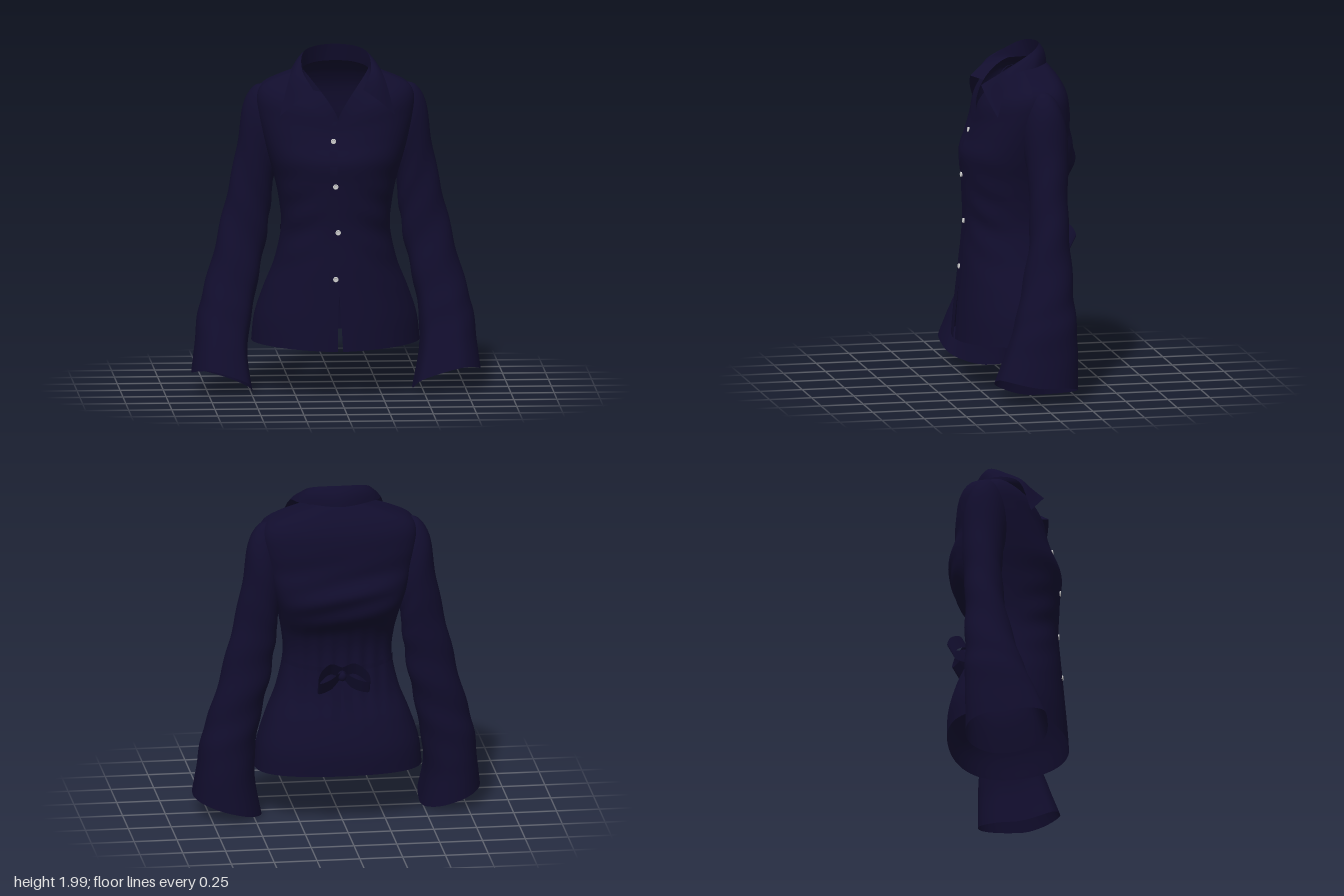
import * as THREE from 'three';
import { mergeVertices } from 'three/addons/utils/BufferGeometryUtils.js';

const cloth = new THREE.MeshStandardMaterial({ color: 0x110d2d, side: THREE.DoubleSide });
const grey = new THREE.MeshStandardMaterial({ color: 0xcccccc });
const { lerp, clamp, smoothstep } = THREE.MathUtils;
const V = (x, y, z) => new THREE.Vector3(x, y, z);
const power = (n, e) => Math.sign(n) * Math.abs(n) ** e;
const bump = (n, centre, width) => Math.exp(-(((n - centre) / width) ** 2));

// Smoothly interpolate a list of number rows at t in 0..1
function rowAt(rows, t) {
  const n = rows.length - 1, f = clamp(t, 0, 1) * n, i = Math.min(Math.floor(f), n - 1), k = f - i;
  const at = j => rows[clamp(j, 0, n)];
  return rows[0].map((_, c) => {
    const a = at(i - 1)[c], b = at(i)[c], d = at(i + 1)[c], e = at(i + 2)[c];
    return b + 0.5 * k * (d - a + k * (2 * a - 5 * b + 4 * d - e + k * (3 * (b - d) + e - a)));
  });
}

// Surface from a rule (u, v) -> point
function surface(name, nu, nv, rule) {
  const pos = [], index = [];
  for (let j = 0; j <= nv; j++)
    for (let i = 0; i <= nu; i++) pos.push(...rule(i / nu, j / nv).toArray());
  for (let j = 0; j < nv; j++)
    for (let i = 0; i < nu; i++) {
      const a = j * (nu + 1) + i, b = a + nu + 1;
      index.push(a, a + 1, b, a + 1, b + 1, b);
    }
  let g = new THREE.BufferGeometry();
  g.setAttribute('position', new THREE.Float32BufferAttribute(pos, 3));
  g.setIndex(index);
  g = mergeVertices(g, 1e-5);
  g.computeVertexNormals();
  const mesh = new THREE.Mesh(g, cloth);
  mesh.name = name;
  return mesh;
}

// Flat strip along a curve, widened along a fixed direction
function ribbon(name, points, across, steps = 28) {
  const curve = new THREE.CatmullRomCurve3(points);
  return surface(name, steps, 2, (u, v) => curve.getPoint(u).addScaledVector(across, v - 0.5));
}

// Body rings: y front, y side, y back, half width, z front, z back
const BODY = [
  [0.27, 0.29, 0.30, 0.487, 0.35, -0.35],
  [0.43, 0.44, 0.44, 0.47, 0.338, -0.345],
  [0.60, 0.60, 0.60, 0.418, 0.322, -0.30],
  [0.76, 0.76, 0.76, 0.355, 0.308, -0.232],
  [0.95, 0.95, 0.95, 0.315, 0.29, -0.2],
  [1.10, 1.10, 1.10, 0.325, 0.293, -0.22],
  [1.24, 1.24, 1.24, 0.352, 0.30, -0.305],
  [1.36, 1.37, 1.37, 0.39, 0.308, -0.335],
  [1.45, 1.50, 1.50, 0.425, 0.27, -0.302],
  [1.53, 1.62, 1.62, 0.45, 0.24, -0.295],
  [1.57, 1.72, 1.73, 0.455, 0.23, -0.28],
  [1.59, 1.785, 1.81, 0.42, 0.225, -0.245],
  [1.60, 1.835, 1.87, 0.32, 0.222, -0.2],
  [1.61, 1.875, 1.90, 0.19, 0.22, -0.165],
];

function bodyPoint(u, v, swell = 1) {
  const [yf, ys, yb, rx, zf, zb] = rowAt(BODY, v);
  // the front parts into a slit near the hem
  const gap = 0.03 * clamp((0.6 - yf) / 0.33, 0, 1);
  const a = lerp(gap, Math.PI * 2 - gap, u), s = Math.sin(a), c = Math.cos(a), front = c > 0;
  const y = lerp(front ? yf : yb, ys, front ? Math.abs(s) : s * s);
  // the front narrows to a V at the neck; the upper back is broad and flat
  const neck = smoothstep(v, 0.85, 1), upper = smoothstep(v, 0.25, 0.5);
  const x = rx * power(s, front ? lerp(0.9, 1.3, neck) : lerp(0.9, 0.8, upper));
  const bend = front
    ? lerp(lerp(1.1, 0.9, smoothstep(v, 0, 0.4)), 1.5, smoothstep(v, 0.52, 0.95))
    : lerp(lerp(0.75, 0.45, upper), 0.75, neck);
  let z = -0.02 + (front ? zf + 0.02 : -zb - 0.02) * power(c, bend);
  // gathers around the tied waist and soft folds over chest and back
  if (front) z += 0.02 * c * s * s * Math.sin(y * 34 + Math.abs(x) * 18) * bump(y, 1, 0.25);
  else z += c * c * (0.009 * bump(y, 0.9, 0.2) * Math.sin(x * 75) + 0.009 * bump(y, 1.35, 0.18) * Math.sin(y * 40 + x * 9));
  return V(x * swell, y, z * swell);
}

// Sleeve rings: inner x, inner y, outer x, outer y, z front, z back
const SLEEVE = [
  [0.33, 1.36, 0.40, 1.785, 0.02, -0.18],
  [0.35, 1.25, 0.47, 1.765, 0.03, -0.215],
  [0.36, 1.20, 0.53, 1.66, 0.02, -0.225],
  [0.365, 1.12, 0.565, 1.42, 0.01, -0.22],
  [0.38, 1.00, 0.62, 1.16, 0.01, -0.21],
  [0.41, 0.82, 0.68, 0.90, 0.03, -0.215],
  [0.455, 0.62, 0.755, 0.62, 0.085, -0.22],
  [0.485, 0.42, 0.80, 0.45, 0.13, -0.23],
  [0.485, 0.22, 0.82, 0.27, 0.18, -0.235],
  [0.445, 0.005, 0.84, 0.115, 0.24, -0.235],
];

function sleeve(side) {
  return surface(side > 0 ? 'leftSleeve' : 'rightSleeve', 48, 72, (u, v) => {
    const [xi, yi, xo, yo, zf, zb] = rowAt(SLEEVE, v);
    // round at the shoulder; toward the flared hem the inner front grows a corner
    const a = u * Math.PI * 2, sin = Math.sin(a), cos = Math.cos(a);
    const corner = clamp(0.5 - 0.8 * sin, 0, 1) * clamp(0.5 + 0.8 * cos, 0, 1);
    const bend = 1 - (0.1 + 0.4 * corner) * smoothstep(v, 0.4, 1);
    const s = power(sin, bend), c = power(cos, bend);
    // creases spiral down the arm, strongest at the elbow
    const fold = 1 + 0.035 * bump(v, 0.55, 0.22) * Math.sin(v * 45 + a * 2);
    const k = 0.5 + 0.5 * s * fold;
    // the right arm hangs slightly further forward, and both hems rise at the front
    const hem = smoothstep(v, 0.7, 1), swing = side < 0 ? 0.05 * clamp((v - 0.4) / 0.5, 0, 1) : 0;
    const x = lerp(xi + (side < 0 ? 0.045 * hem : 0), xo, k);
    const y = lerp(yi, yo, k) + 0.075 * hem * Math.max(0, c) ** 1.5;
    return V(side * x, y, (zf + zb) / 2 + (zf - zb) / 2 * c * fold + swing);
  });
}

// Mirror half a collar line into a full curve around the neck
function collarLine(half) {
  const pts = half.map(p => V(...p));
  const other = half.slice(0, -1).reverse().map(([x, y, z]) => V(-x, y, z));
  return new THREE.CatmullRomCurve3([...pts, ...other]);
}

export function createModel() {
  const shirt = new THREE.Group();
  shirt.name = 'shirt';

  shirt.add(surface('body', 120, 110, (u, v) => bodyPoint(u, v)));
  shirt.add(sleeve(1), sleeve(-1));

  // Collar: stand rises from the neck edge, then folds over to a pointed edge
  const fold = collarLine([[0.145, 1.785, 0.222], [0.2, 1.885, 0.08], [0.17, 1.975, -0.08], [0, 2.0, -0.145]]);
  const edge = collarLine([[0.335, 1.625, 0.165], [0.27, 1.85, 0.075], [0.225, 1.89, -0.09], [0, 1.885, -0.192]]);
  shirt.add(surface('collarStand', 60, 4, (u, v) => bodyPoint(lerp(0.1, 0.9, u), 1).lerp(fold.getPoint(u), v)));
  shirt.add(surface('collarFall', 60, 10, (u, v) => {
    const p = fold.getPoint(u).lerp(edge.getPoint(u), v);
    const bulge = 0.01 * Math.sin(v * Math.PI);
    return p.add(V(0, bulge, clamp(p.z * 10, -1, 1) * bulge));
  }));

  // Front placket, lying just over the closing edge
  const closing = [];
  for (let i = 0; i <= 14; i++) {
    const p = bodyPoint(1, i / 14 * 0.9);
    closing.push(V(-0.032, p.y, p.z + 0.002));
  }
  shirt.add(ribbon('placket', closing, V(0.045, 0, 0.002), 60));

  // Buttons
  for (const [x, y, z] of [[-0.03, 1.49, 0.257], [-0.02, 1.23, 0.302], [-0.005, 0.96, 0.292], [-0.02, 0.69, 0.315]]) {
    const button = new THREE.Group();
    button.name = 'button';
    const disc = new THREE.Mesh(new THREE.CylinderGeometry(0.015, 0.015, 0.008, 20), grey);
    const rim = new THREE.Mesh(new THREE.TorusGeometry(0.012, 0.004, 8, 20), grey);
    disc.name = 'buttonDisc';
    rim.name = 'buttonRim';
    disc.rotation.x = Math.PI / 2;
    rim.position.z = 0.003;
    button.add(disc, rim);
    button.position.set(x, y, z);
    shirt.add(button);
  }

  // Waist ties and the bow at the back
  const bow = new THREE.Group();
  bow.name = 'backBow';
  for (const side of [1, -1]) {
    const tie = [];
    for (let i = 0; i <= 10; i++) {
      const p = bodyPoint(0.5 - side * 0.22 * (1 - i / 10), 0.305, 1.02);
      p.y -= 0.05 * i / 10;
      tie.push(p);
    }
    bow.add(ribbon('waistTie', tie, V(0, 0.03, 0)));
    const path = list => list.map(([x, y, z]) => V(side * x, y, z));
    bow.add(ribbon('bowLoop', path([[0, 0.89, -0.225], [0.07, 0.92, -0.25], [0.14, 0.88, -0.305],
      [0.15, 0.83, -0.32], [0.08, 0.83, -0.275], [0, 0.87, -0.23]]), V(0, 0.075, -0.04)));
    bow.add(ribbon('bowTail', path([[0, 0.87, -0.225], [0.03, 0.80, -0.24], [0.035, 0.70, -0.27],
      [0.05, 0.62, -0.3]]), V(0.05, 0.015, 0)));
  }
  const knot = new THREE.Mesh(new THREE.SphereGeometry(0.026, 20, 14), cloth);
  knot.name = 'bowKnot';
  knot.scale.set(1, 1.2, 0.9);
  knot.position.set(0, 0.875, -0.24);
  bow.add(knot);
  shirt.add(bow);

  return shirt;
}
